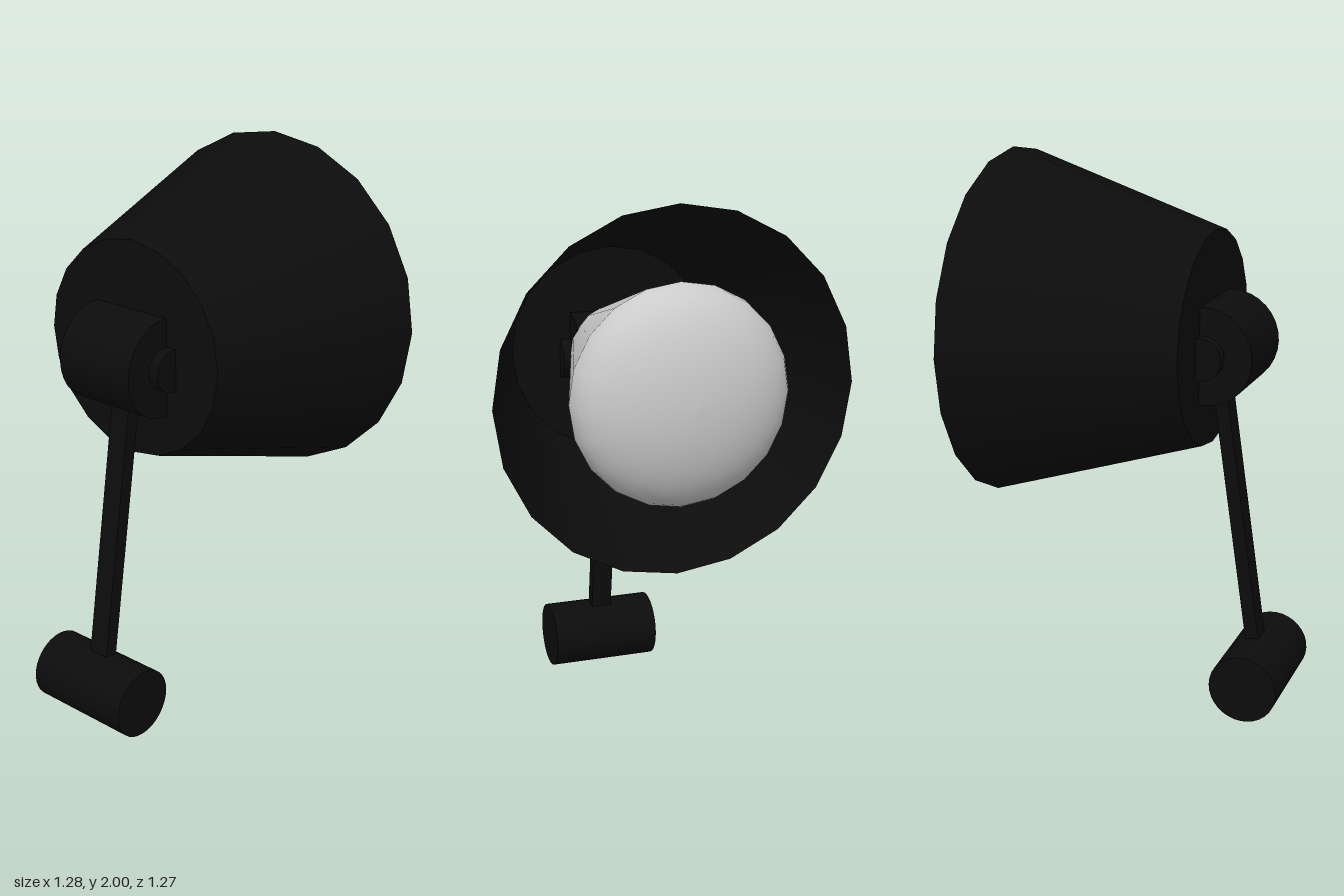
import * as THREE from 'three';

const SHADE_Y = 1.367;
const BACK_X = -0.32, RIM_X = 0.45;

export function createModel() {
  const model = new THREE.Group();
  model.name = 'lamp';
  const black = new THREE.MeshStandardMaterial({ color: 0x0c0c0c });
  const blackThin = new THREE.MeshStandardMaterial({ color: 0x0c0c0c, side: THREE.DoubleSide });
  const grey = new THREE.MeshStandardMaterial({ color: 0xcccccc });

  const add = (name, geometry, material, x, y, parent = model) => {
    const mesh = new THREE.Mesh(geometry, material);
    mesh.name = name;
    mesh.position.set(x, y, 0);
    parent.add(mesh);
    return mesh;
  };

  // Cylinder lying along z
  const crossCylinder = (name, radius, length, x, y) =>
    add(name, new THREE.CylinderGeometry(radius, radius, length, 32).rotateX(Math.PI / 2), black, x, y);

  // Head: modelled upright, then turned so its axis points along +x
  const head = new THREE.Group();
  head.name = 'head';
  head.position.y = SHADE_Y;
  head.rotation.z = -Math.PI / 2;
  model.add(head);

  // Open flared shade with a flat back
  const depth = RIM_X - BACK_X;
  add('shade', new THREE.CylinderGeometry(0.633, 0.385, depth, 20, 1, true), blackThin, 0, (BACK_X + RIM_X) / 2, head);
  add('shadeBack', new THREE.CircleGeometry(0.385, 20).rotateX(Math.PI / 2), blackThin, 0, BACK_X, head);

  // Bulb: tapered neck and domed lens
  const lensX = 0.46, lensRadius = 0.383, lensDepth = 0.18;
  const neckLength = lensX - BACK_X - 0.01;
  add('bulbNeck', new THREE.CylinderGeometry(lensRadius, 0.16, neckLength, 20, 1, true), grey, 0, lensX - neckLength / 2, head);
  const dome = [];
  for (let i = 0; i <= 10; i++) {
    const a = (i / 10) * Math.PI / 2;
    dome.push(new THREE.Vector2(i === 10 ? 0 : lensRadius * Math.cos(a), lensDepth * Math.sin(a)));
  }
  add('bulbLens', new THREE.LatheGeometry(dome, 20), grey, 0, lensX, head);

  // Pivot drum behind the shade, with its pin
  const pivot = new THREE.Vector2(-0.335, 1.337);
  crossCylinder('pivotDrum', 0.175, 0.32, pivot.x, pivot.y);
  crossCylinder('pivotPin', 0.075, 0.4, pivot.x, pivot.y);

  // Base roller
  const base = new THREE.Vector2(-0.518, 0.126);
  crossCylinder('base', 0.126, 0.42, base.x, base.y);

  // Leaning arm from base to pivot
  const span = pivot.clone().sub(base);
  const arm = add('arm', new THREE.BoxGeometry(0.05, span.length(), 0.08), black, (pivot.x + base.x) / 2, (pivot.y + base.y) / 2);
  arm.rotation.z = -Math.atan2(span.x, span.y);

  return model;
}
